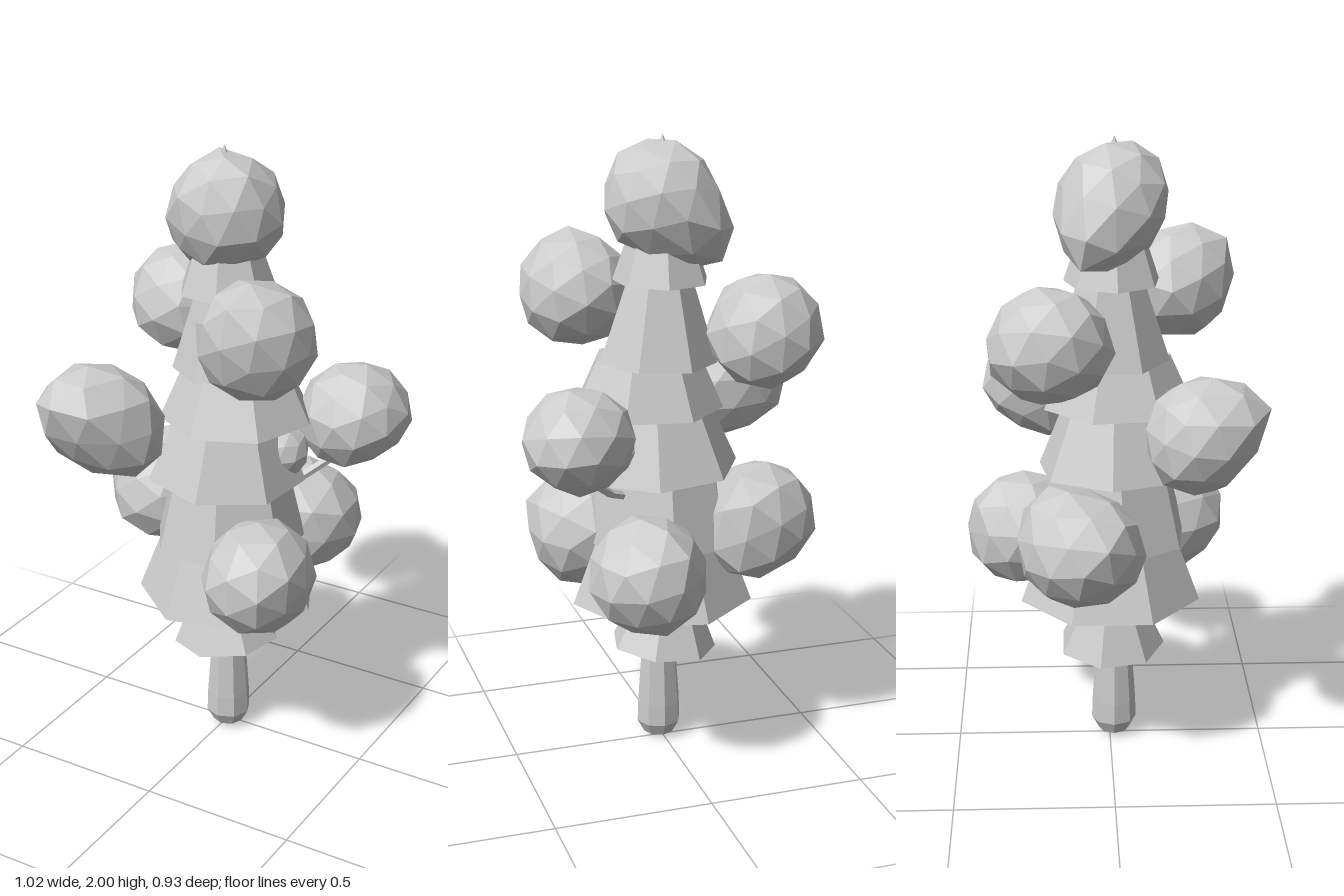
import * as THREE from 'three';

const material = new THREE.MeshStandardMaterial({ color: 0xcccccc, flatShading: true });

function addMesh(parent, geometry, name) {
  const mesh = new THREE.Mesh(geometry, material);
  mesh.name = name;
  parent.add(mesh);
  return mesh;
}

// Faceted leaf clump: a low-poly ball, gently uneven, with some sides drawn out.
function clumpGeometry(rx, ry, rz, pulls, seed) {
  const geometry = new THREE.IcosahedronGeometry(1, 1);
  const position = geometry.attributes.position;
  const v = new THREE.Vector3();
  const radii = new THREE.Vector3(rx, ry, rz);
  const pullVectors = pulls.map(p => new THREE.Vector3(...p));
  const turn = new THREE.Euler(seed * 1.3, seed * 2.1, seed * 0.7);
  for (let i = 0; i < position.count; i++) {
    v.fromBufferAttribute(position, i).applyEuler(turn);
    const unit = v.clone();
    const uneven = 1 + 0.03 * Math.sin(v.x * 5 + v.y * 7 + v.z * 6 + seed * 3);
    v.multiplyScalar(uneven).multiply(radii);
    for (const pull of pullVectors) {
      const along = Math.max(0, unit.dot(pull) / pull.length());
      v.addScaledVector(pull, along ** 3);
    }
    position.setXYZ(i, v.x, v.y, v.z);
  }
  geometry.computeVertexNormals();
  return geometry;
}

// Thin branch through a few points
function branch(parent, points, radius) {
  const curve = new THREE.CatmullRomCurve3(points.map(p => new THREE.Vector3(...p)));
  addMesh(parent, new THREE.TubeGeometry(curve, 4, radius, 5), 'branch');
}

export function createModel() {
  const tree = new THREE.Group();
  tree.name = 'tree';

  // Trunk with a rounded foot, tapering upwards
  const trunkProfile = [
    [0, 0.005], [0.05, 0.018], [0.073, 0.06], [0.071, 0.13], [0.056, 0.34],
    [0.045, 0.8], [0.03, 1.5], [0, 1.95]
  ].map(([r, y]) => new THREE.Vector2(r, y));
  const trunk = addMesh(tree, new THREE.LatheGeometry(trunkProfile, 8), 'trunk');
  trunk.position.set(0.009, 0, 0.014);

  // Tiny pointed tip
  const tip = addMesh(tree, new THREE.ConeGeometry(0.017, 0.04, 6), 'tip');
  tip.position.set(-0.005, 1.98, 0.013);

  // Stacked skirts of foliage: bottom y, top y, bottom radius, top radius, x, z, turn, tilt
  const skirts = [
    [0.333, 0.49, 0.174, 0.10, -0.01, 0.004, 0, 0.09],
    [0.48, 0.53, 0.155, 0.13, -0.015, 0.005, 0.9, 0.04],
    [0.51, 0.72, 0.295, 0.215, 0.005, 0, 0.67, 0],
    [0.71, 0.95, 0.247, 0.19, 0.006, 0.008, 0.337, 0],
    [0.94, 1.16, 0.255, 0.165, 0.008, 0.02, 0.15, -0.04],
    [1.15, 1.31, 0.243, 0.17, 0.045, 0.022, 0.785, 0.02],
    [1.30, 1.56, 0.19, 0.105, 0.015, 0, 0.75, 0.03],
    [1.55, 1.69, 0.153, 0.105, 0, 0.008, 0.3, 0.01]
  ];
  const foliage = new THREE.Group();
  foliage.name = 'foliageSkirts';
  tree.add(foliage);
  for (const [y0, y1, r0, r1, x, z, turn, tilt] of skirts) {
    const skirt = addMesh(foliage, new THREE.CylinderGeometry(r1, r0, y1 - y0, 7), 'skirt');
    skirt.position.set(x, (y0 + y1) / 2, z);
    skirt.rotation.set(0, turn, tilt, 'ZYX');
  }

  // Round leaf clumps: centre, radii, drawn-out sides
  const clumps = [
    ['topClump', [0, 1.8, 0.008], [0.183, 0.178, 0.175], [[-0.055, -0.06, -0.035], [0.005, 0.015, 0.01]]],
    ['upperFrontClump', [0.22, 1.495, 0.21], [0.187, 0.18, 0.182], [[0, 0.025, 0.03]]],
    ['upperBackClump', [-0.268, 1.42, -0.188], [0.18, 0.178, 0.192], [[0.01, -0.01, -0.01]]],
    ['middleFrontClump', [-0.312, 1.148, 0.25], [0.197, 0.175, 0.158], [[-0.01, 0.035, 0.07], [0.03, -0.03, -0.01]]],
    ['middleBackClump', [0.335, 1.13, -0.218], [0.172, 0.165, 0.178], [[0.01, 0, -0.02], [-0.01, -0.015, 0.01]]],
    ['lowerLeftClump', [0.218, 0.698, 0.19], [0.177, 0.188, 0.192], [[0.015, 0.01, 0.015]]],
    ['lowerRightClump', [-0.295, 0.782, -0.095], [0.186, 0.18, 0.196], [[0.025, -0.03, -0.015], [0.015, 0.025, -0.02]]],
    ['lowerBackClump', [0.13, 0.695, -0.275], [0.18, 0.188, 0.195], [[0.02, 0, -0.01]]],
    ['budClump', [0.165, 1.03, -0.05], [0.08, 0.1, 0.085], [[0.01, 0, 0]]]
  ];
  clumps.forEach(([name, centre, radii, pulls], i) => {
    const clump = addMesh(tree, clumpGeometry(...radii, pulls, i + 1), name);
    clump.position.set(...centre);
  });

  // Branches reaching into the middle clumps and the bud
  branch(tree, [[0.02, 0.85, -0.02], [0.18, 0.905, -0.11], [0.27, 0.96, -0.17], [0.335, 1.08, -0.22]], 0.014);
  branch(tree, [[-0.02, 0.98, 0.02], [-0.16, 1.03, 0.13], [-0.3, 1.13, 0.24]], 0.014);
  branch(tree, [[0.03, 0.85, -0.03], [0.16, 0.9, -0.08], [0.2, 1.0, -0.07]], 0.01);

  return tree;
}
